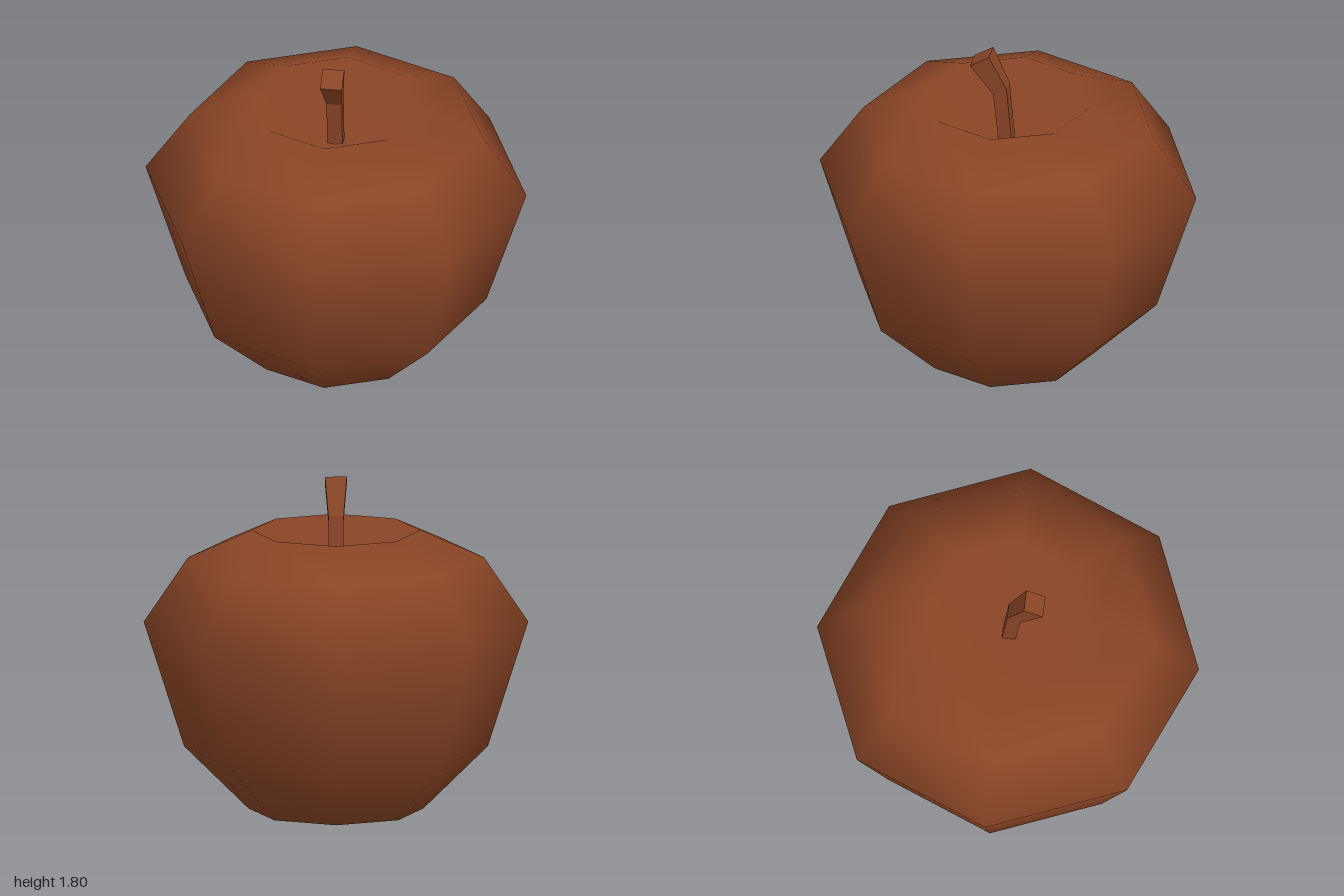
import * as THREE from 'three';
import { mergeVertices } from 'three/addons/utils/BufferGeometryUtils.js';

const SIDES = 8;

// Smooth eight-sided body, dimpled at the top
function bodyGeometry() {
  const profile = [
    [0, 0], [0.455, 0.06], [0.79, 0.39], [1, 1.05],
    [0.77, 1.39], [0.44, 1.535], [0, 1.28],
  ].map(([r, y]) => new THREE.Vector2(r, y));
  const lathe = new THREE.LatheGeometry(profile, SIDES);
  lathe.deleteAttribute('uv');
  lathe.deleteAttribute('normal');
  const geometry = mergeVertices(lathe, 1e-4);
  geometry.computeVertexNormals();
  return geometry;
}

// Square bent stalk, lofted through three tilted cross-sections
function stemGeometry() {
  const sections = [
    { half: 0.04, back: [1.22, -0.035], front: [1.22, 0.035] },
    { half: 0.04, back: [1.61, 0.0], front: [1.57, 0.07] },
    { half: 0.057, back: [1.8, 0.09], front: [1.74, 0.19] },
  ];
  const positions = [];
  const index = [];
  for (const { half, back, front } of sections) {
    // corners run counter-clockwise seen from above
    positions.push(
      -half, ...front, half, ...front,
      half, ...back, -half, ...back,
    );
  }
  const quad = (a, b, c, d) => index.push(a, b, c, a, c, d);
  for (let s = 0; s < sections.length - 1; s++) {
    for (let i = 0; i < 4; i++) {
      const a = s * 4 + i;
      const b = s * 4 + (i + 1) % 4;
      quad(a, b, b + 4, a + 4);
    }
  }
  quad(3, 2, 1, 0);
  quad(8, 9, 10, 11);
  const geometry = new THREE.BufferGeometry();
  geometry.setAttribute('position', new THREE.Float32BufferAttribute(positions, 3));
  geometry.setIndex(index);
  const flat = geometry.toNonIndexed();
  flat.computeVertexNormals();
  return flat;
}

export function createModel() {
  const brown = new THREE.MeshStandardMaterial({ color: 0x8a4526 });
  brown.name = 'reddish brown';

  const group = new THREE.Group();
  group.name = 'apple';

  const body = new THREE.Mesh(bodyGeometry(), brown);
  body.name = 'body';
  const stem = new THREE.Mesh(stemGeometry(), brown);
  stem.name = 'stem';

  group.add(body, stem);
  return group;
}
